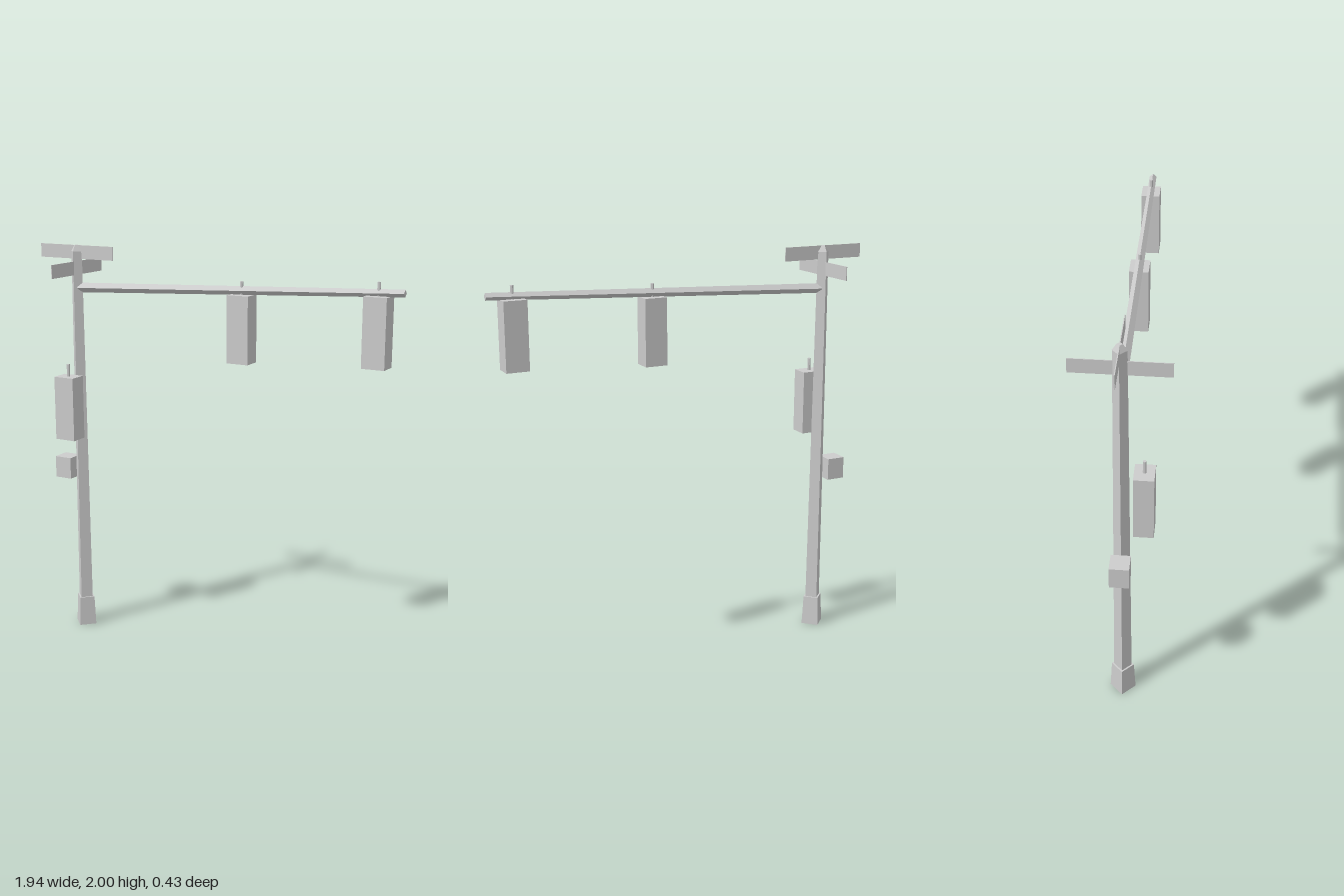
import * as THREE from 'three';

export function createModel() {
  const model = new THREE.Group();
  model.name = 'trafficSignalPole';
  const grey = new THREE.MeshStandardMaterial({ color: 0xcccccc });
  grey.name = 'lightGrey';
  grey.flatShading = true;

  const poleX = -0.756;

  function add(name, geometry, x, y, z, parent = model) {
    const mesh = new THREE.Mesh(geometry, grey);
    mesh.name = name;
    mesh.position.set(x, y, z);
    parent.add(mesh);
    return mesh;
  }

  // Upright four-sided taper, with corners facing front, back and sides
  function taper(name, rBottom, rTop, y0, y1) {
    return add(name, new THREE.CylinderGeometry(rTop, rBottom, y1 - y0, 4), poleX, (y0 + y1) / 2, 0);
  }

  // Pole
  taper('poleBase', 0.061, 0.053, 0, 0.152);
  taper('pole', 0.042, 0.031, 0.152, 1.97);
  taper('poleCap', 0.032, 0.013, 1.97, 2);

  // Mast arm, rising slightly towards its thin end
  const start = new THREE.Vector3(-0.742, 1.791, 0);
  const end = new THREE.Vector3(0.965, 1.868, 0);
  const span = end.clone().sub(start);
  const arm = add('mastArm', new THREE.CylinderGeometry(0.017, 0.024, span.length(), 4), 0, 0, 0);
  arm.position.copy(start).add(end).multiplyScalar(0.5);
  arm.quaternion.setFromUnitVectors(new THREE.Vector3(0, 1, 0), span.normalize());

  // Signal heads, each with a short mounting stub on top
  const signals = [
    ['innerArmSignal', 0.168, 1.812, 0],
    ['outerArmSignal', 0.843, 1.849, 0],
    ['poleSignal', poleX, 1.356, 0.1],
  ];
  for (const [name, x, top, z] of signals) {
    const head = new THREE.Group();
    head.name = name;
    head.position.set(x, top, z);
    model.add(head);
    add('signalHousing', new THREE.BoxGeometry(0.11, 0.32, 0.09), 0, -0.16, 0, head);
    add('mountingStub', new THREE.CylinderGeometry(0.008, 0.008, 0.062, 6), 0, 0.031, 0, head);
  }

  // Pedestrian signal on the side of the pole
  add('pedestrianSignal', new THREE.BoxGeometry(0.092, 0.11, 0.09), -0.846, 0.856, 0);

  // Crossed street signs
  add('upperStreetSign', new THREE.BoxGeometry(0.428, 0.067, 0.004), poleX, 1.966, 0);
  add('lowerStreetSign', new THREE.BoxGeometry(0.004, 0.067, 0.428), poleX, 1.887, 0);

  return model;
}
